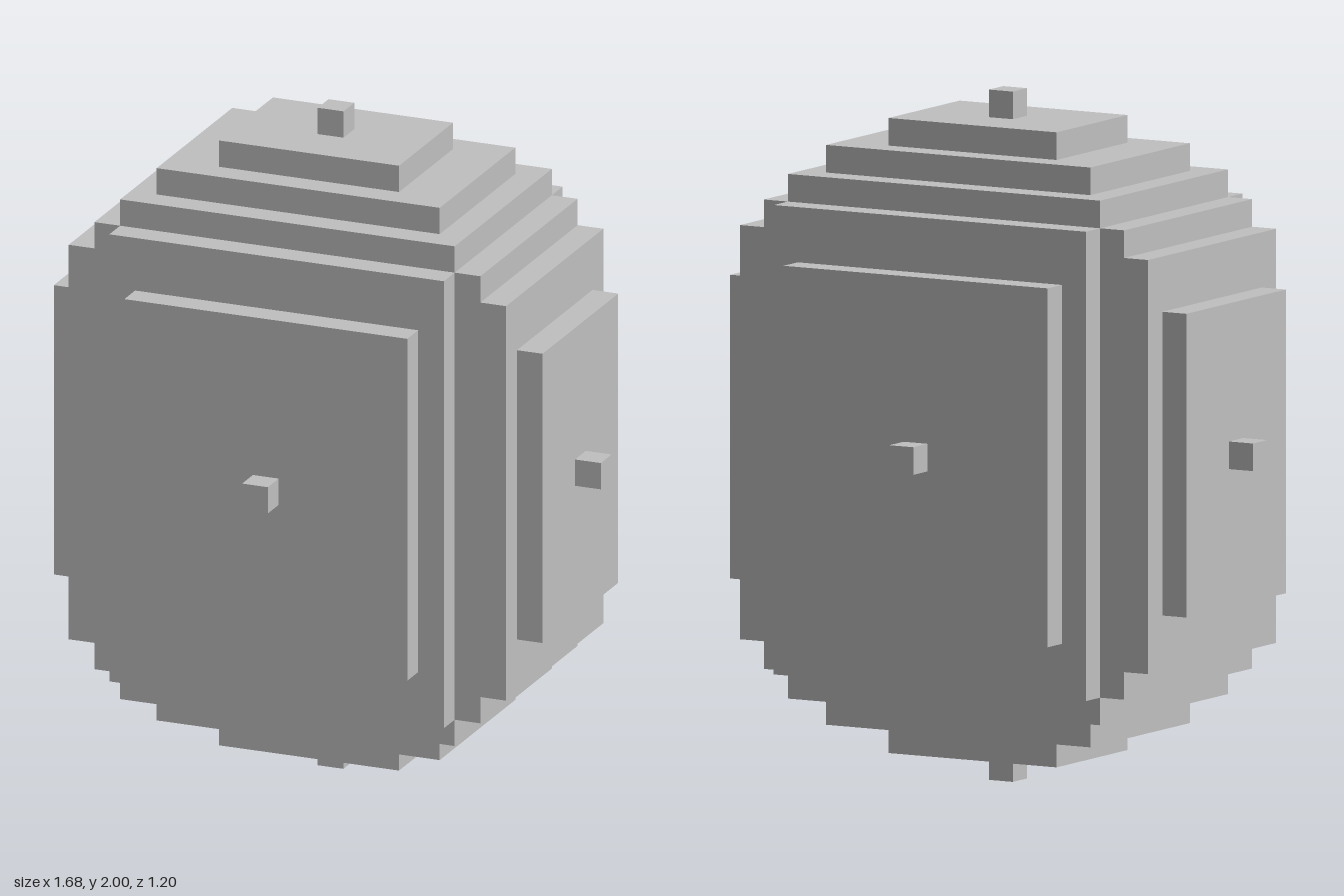
import * as THREE from 'three';

export function createModel() {
  const group = new THREE.Group();
  const stone = new THREE.MeshStandardMaterial({ color: 0xc0c0c0 });
  stone.name = 'plainGrey';

  const add = (name, geometry) => {
    const mesh = new THREE.Mesh(geometry, stone);
    mesh.name = name;
    mesh.position.y = 1;
    group.add(mesh);
  };

  // Core slab with stepped corners, mirrored into all four quadrants
  const steps = [[0.68, 0.6], [0.6, 0.6], [0.6, 0.68], [0.52, 0.68], [0.52, 0.76]];
  const flip = (sx, sy) => steps.map(([x, y]) => new THREE.Vector2(x * sx, y * sy));
  const outline = [
    ...flip(1, 1), ...flip(-1, 1).reverse(),
    ...flip(-1, -1), ...flip(1, -1).reverse(),
  ];
  const core = new THREE.ExtrudeGeometry(new THREE.Shape(outline), { depth: 0.72, bevelEnabled: false });
  core.translate(0, 0, -0.36);
  add('steppedCore', core);

  // Nested centred blocks, as half sizes in x, y and z; each shows as a step on opposite sides
  const blocks = {
    frontBackLowerStep: [0.52, 0.68, 0.44],
    frontBackPanel: [0.44, 0.52, 0.52],
    frontBackStud: [0.04, 0.04, 0.6],
    sidePanel: [0.76, 0.44, 0.28],
    sideStud: [0.84, 0.04, 0.04],
    topBottomWideStep: [0.44, 0.84, 0.28],
    topBottomNarrowStep: [0.28, 0.92, 0.2],
    topBottomStud: [0.04, 1, 0.04],
  };
  for (const [name, [x, y, z]] of Object.entries(blocks)) {
    add(name, new THREE.BoxGeometry(2 * x, 2 * y, 2 * z));
  }
  return group;
}
